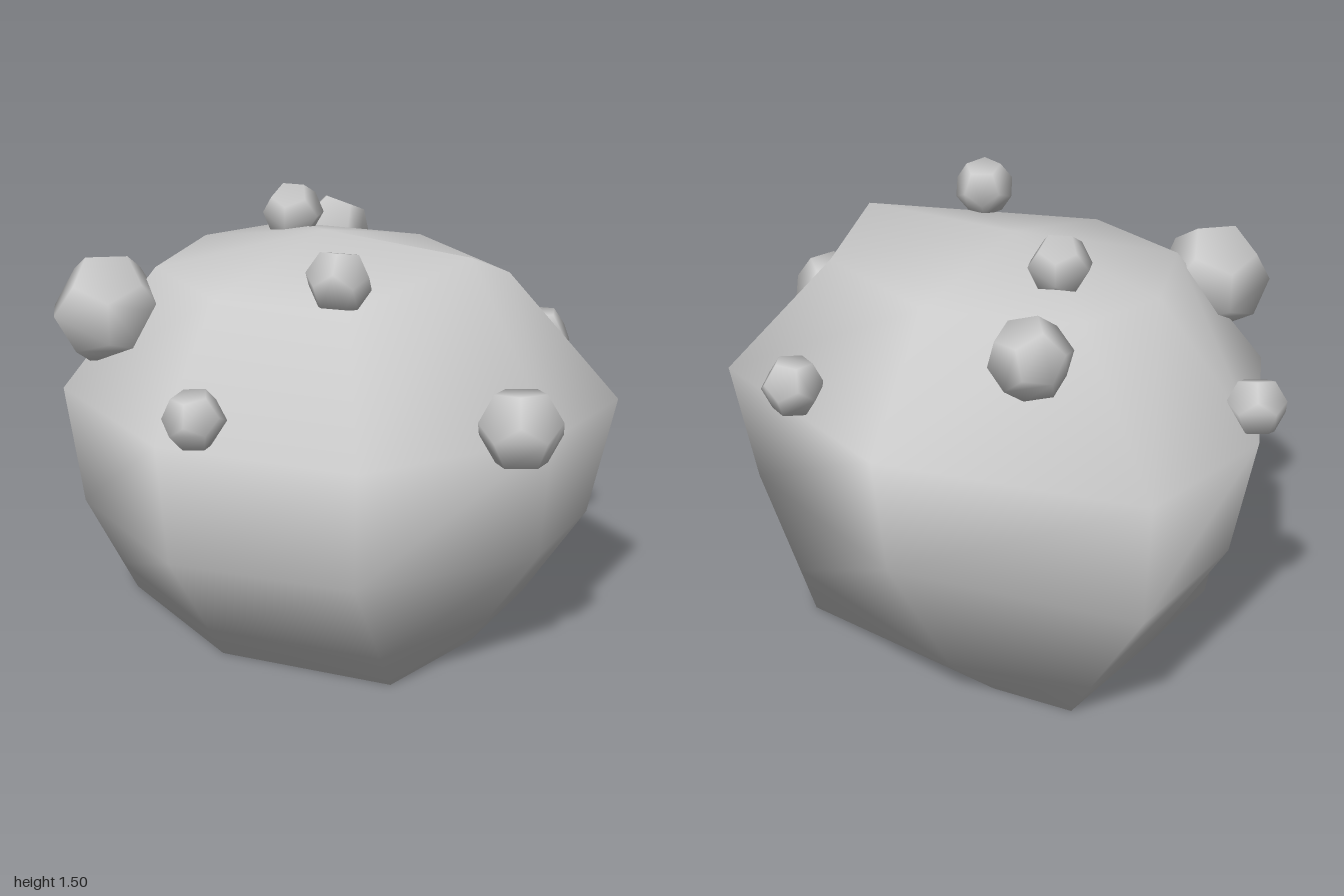
import * as THREE from 'three';

const material = new THREE.MeshStandardMaterial({ color: 0xcccccc });

// Foot of the boulder, as x, z corners
const foot = [
  [-0.36, -0.76], [-0.08, -0.67], [0.66, -0.25], [0.56, 0.20],
  [0.37, 0.60], [-0.25, 0.54], [-0.74, 0.12], [-0.57, -0.30],
];

// Widest outline of the boulder, as x, z corners
const outline = [
  [-0.62, -0.90], [0.31, -0.74], [1.0, -0.07], [0.85, 0.38],
  [0.32, 0.86], [-0.37, 0.81], [-0.89, 0.36], [-0.92, -0.37],
];

// Cross-section of the outline, each corner drawn in by its own factor
const ring = (y, scale) => outline.map(([x, z], i) => [x * scale[i], y, z * scale[i]]);

function boulderGeometry() {
  const base = foot.map(([x, z]) => [x, 0, z]);
  const lower = ring(0.43, [0.97, 0.91, 0.91, 0.96, 0.93, 0.95, 0.94, 0.91]);
  const widest = ring(0.86, [1, 1, 1, 1, 1, 1, 1, 1]);
  const shoulder = ring(1.29, [0.55, 0.62, 0.61, 0.63, 0.67, 0.68, 0.65, 0.61]);
  // one shoulder corner is raised to the height of the crown
  shoulder[3][1] = 1.41;
  // low skirt between foot and lower ring, with one corner jutting out at the back
  const skirt = base.map((p, i) => p.map((v, k) => v + (lower[i][k] - v) * 0.28));
  skirt[1] = [0.055, 0.12, -0.74];

  const rings = [base, skirt, lower, widest, shoulder];
  const positions = rings.flat(2);
  const n = outline.length;
  const bottom = positions.length / 3;
  const top = bottom + 1;
  positions.push(0, 0, 0, -0.03, 1.41, 0.02);

  const index = [];
  const last = (rings.length - 1) * n;
  for (let i = 0; i < n; i++) {
    const j = (i + 1) % n;
    for (let r = 0; r < last; r += n) {
      index.push(r + i, r + n + i, r + j, r + j, r + n + i, r + n + j);
    }
    index.push(bottom, i, j);
    index.push(last + i, top, last + j);
  }

  // rounded shading: normals of a flattened ball around the middle
  const normals = [];
  for (let k = 0; k < positions.length; k += 3) {
    const [x, y, z] = positions.slice(k, k + 3);
    normals.push(...new THREE.Vector3(x, (y - 0.55) * 1.7, z).normalize());
  }
  const geometry = new THREE.BufferGeometry();
  geometry.setAttribute('position', new THREE.Float32BufferAttribute(positions, 3));
  geometry.setAttribute('normal', new THREE.Float32BufferAttribute(normals, 3));
  geometry.setIndex(index);
  return geometry;
}

// Low-poly pebble shaded as a ball
function pebbleGeometry() {
  const geometry = new THREE.DodecahedronGeometry(1, 0);
  geometry.setAttribute('normal', geometry.attributes.position.clone());
  return geometry;
}

// Pebbles: x, y, z, radius
const pebbles = [
  [-0.705, 1.165, 0.36, 0.198],
  [-0.20, 1.23, -0.665, 0.14],
  [-0.23, 1.395, -0.25, 0.11],
  [0.175, 1.39, 0.56, 0.11],
  [-0.235, 0.965, 0.80, 0.105],
  [0.775, 0.95, 0.55, 0.145],
  [0.66, 0.96, -0.405, 0.11],
  [-0.90, 0.96, -0.305, 0.107],
];

export function createModel() {
  const group = new THREE.Group();
  group.name = 'pebbledBoulder';

  const boulder = new THREE.Mesh(boulderGeometry(), material);
  boulder.name = 'boulder';
  group.add(boulder);

  const geometry = pebbleGeometry();
  pebbles.forEach(([x, y, z, radius], i) => {
    const pebble = new THREE.Mesh(geometry, material);
    pebble.name = `pebble${i + 1}`;
    pebble.position.set(x, y, z);
    pebble.scale.setScalar(radius);
    pebble.rotation.set(i * 1.3, i * 0.9 + 0.4, i * 0.5);
    group.add(pebble);
  });
  return group;
}
